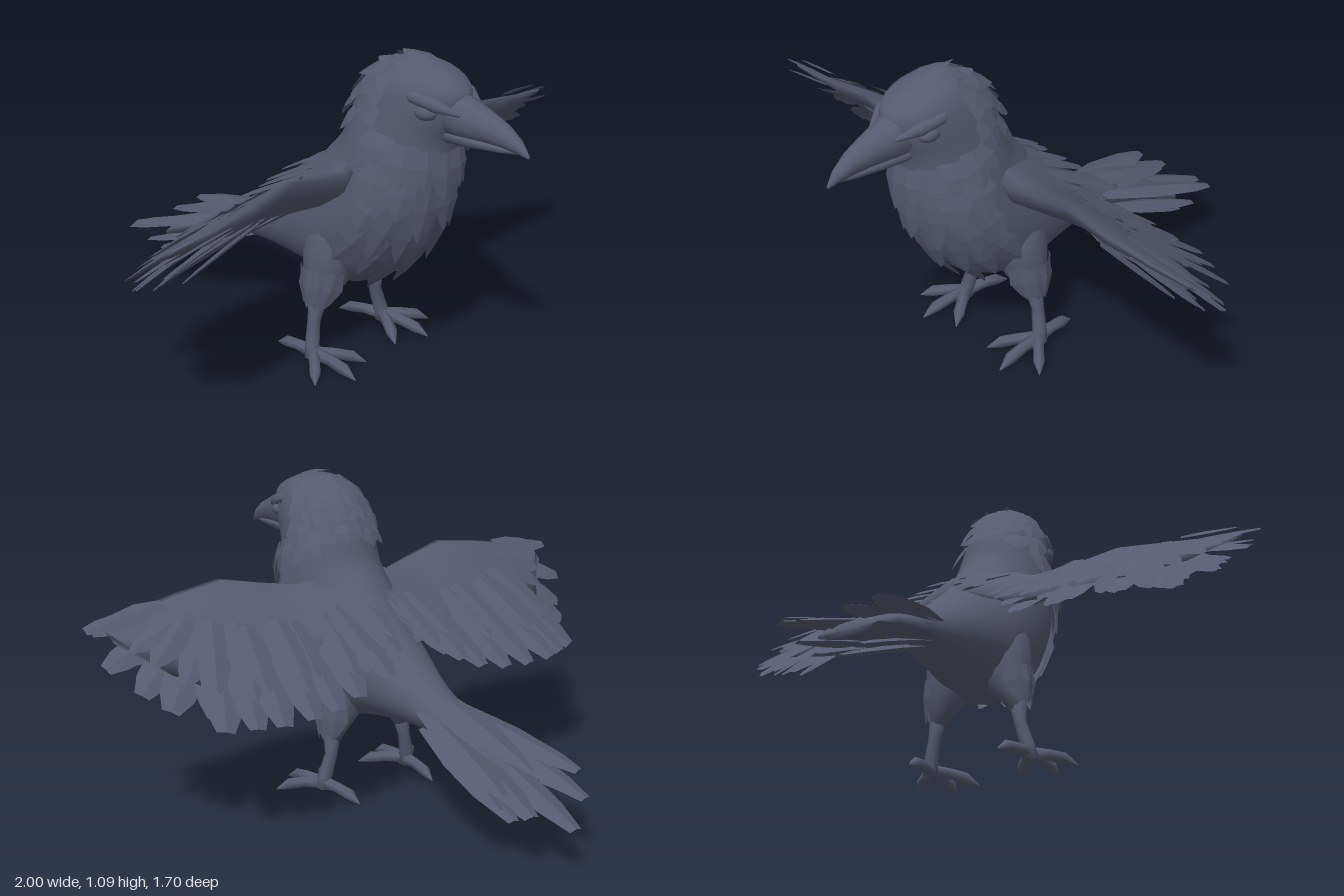
import * as THREE from 'three';

const V = (x, y, z) => new THREE.Vector3(x, y, z);
const plumage = new THREE.MeshStandardMaterial({ color: 0x565a70 });
plumage.name = 'slate plumage';
const feathering = new THREE.MeshStandardMaterial({ color: 0x565a70, side: THREE.DoubleSide });
feathering.name = 'slate feathers';

function mesh(name, geometry, material = plumage) {
  const m = new THREE.Mesh(geometry, material);
  m.name = name;
  return m;
}

// Closed smooth skin through rings of equal length, with end caps
function loft(rings) {
  const n = rings[0].length, pos = [], idx = [];
  rings.forEach(r => r.forEach(p => pos.push(p.x, p.y, p.z)));
  for (let i = 0; i < rings.length - 1; i++) for (let j = 0; j < n; j++) {
    const a = i * n + j, b = i * n + (j + 1) % n;
    idx.push(a, a + n, b, b, a + n, b + n);
  }
  [0, rings.length - 1].forEach((i, end) => {
    const c = rings[i].reduce((s, p) => s.add(p), V(0, 0, 0)).divideScalar(n);
    const k = pos.length / 3;
    pos.push(c.x, c.y, c.z);
    for (let j = 0; j < n; j++) {
      const a = i * n + j, b = i * n + (j + 1) % n;
      end ? idx.push(a, k, b) : idx.push(a, b, k);
    }
  });
  const g = new THREE.BufferGeometry();
  g.setAttribute('position', new THREE.Float32BufferAttribute(pos, 3));
  g.setIndex(idx);
  g.computeVertexNormals();
  return g;
}

const ring = (c, u, v, n) => Array.from({ length: n }, (_, j) => {
  const a = j / n * Math.PI * 2;
  return c.clone().addScaledVector(u, Math.cos(a)).addScaledVector(v, Math.sin(a));
});

// Tapering limb along a few points
function limb(points, radii, n = 8) {
  return loft(points.map((p, i) => {
    const dir = points[Math.min(i + 1, points.length - 1)].clone()
      .sub(points[Math.max(i - 1, 0)]).normalize();
    const ref = Math.abs(dir.y) > 0.8 ? V(0, 0, 1) : V(0, 1, 0);
    const u = ref.addScaledVector(dir, -ref.dot(dir)).normalize();
    const v = u.clone().cross(dir);
    return ring(p, u.multiplyScalar(radii[i]), v.multiplyScalar(radii[i]), n);
  }));
}

// Adds one ridged leaf-shaped feather to a triangle list
function feather(out, base, tip, half, up, blunt = 0.25, ridge = 0.18) {
  const dir = tip.clone().sub(base);
  const side = dir.clone().cross(up).normalize();
  const nrm = side.clone().cross(dir).normalize();
  const rows = [[0, 0.65], [0.45, 1], [0.82, 0.42 + blunt], [1, blunt]].map(([t, w]) => {
    const c = base.clone().addScaledVector(dir, t);
    return [c.clone().addScaledVector(side, -half * w),
      c.clone().addScaledVector(nrm, half * w * ridge),
      c.clone().addScaledVector(side, half * w)];
  });
  for (let i = 0; i < 3; i++) for (let j = 0; j < 2; j++) {
    const [a, b, c, d] = [rows[i][j], rows[i][j + 1], rows[i + 1][j], rows[i + 1][j + 1]];
    out.push(a, b, c, b, d, c);
  }
}

function feathers(name, tris) {
  const g = new THREE.BufferGeometry().setFromPoints(tris);
  g.computeVertexNormals();
  return mesh(name, g, feathering);
}

// Body stations, tail to crown: [half width, back y, back z, belly y, belly z]
const stations = [
  [0.075, 0.37, -0.36, 0.29, -0.34], [0.09, 0.45, -0.20, 0.295, -0.15],
  [0.14, 0.56, -0.05, 0.28, 0.05], [0.175, 0.66, 0.06, 0.255, 0.22],
  [0.185, 0.74, 0.13, 0.33, 0.37], [0.18, 0.80, 0.18, 0.46, 0.49],
  [0.168, 0.85, 0.20, 0.62, 0.56], [0.15, 0.90, 0.215, 0.76, 0.57],
  [0.14, 0.95, 0.24, 0.85, 0.585], [0.13, 1.02, 0.28, 0.90, 0.61],
  [0.112, 1.07, 0.36, 0.96, 0.625], [0.08, 1.078, 0.45, 1.0, 0.62], [0.02, 1.06, 0.54, 1.035, 0.58]];
const last = stations.length - 1;
const backLine = new THREE.CatmullRomCurve3(stations.map(s => V(s[0], s[1], s[2])));
const bellyLine = new THREE.CatmullRomCurve3(stations.map(s => V(0, s[3], s[4])));

function station(s) {
  const a = backLine.getPoint(s / last), b = bellyLine.getPoint(s / last), w = a.x;
  a.x = 0;
  return { c: a.clone().add(b).multiplyScalar(0.5), u: a.sub(b).multiplyScalar(0.5), v: V(w, 0, 0) };
}

function onBody(s, angle, lift) {
  const { c, u, v } = station(s);
  const r = u.multiplyScalar(Math.cos(angle)).addScaledVector(v, Math.sin(angle));
  const out = r.clone().normalize();
  return { p: c.add(r).addScaledVector(out, lift), out };
}

// Tier of pointed feathers lying on the body, spread about a middle angle
function tier(out, s, ds, mid, spread, count, half, lift) {
  for (let i = 0; i < count; i++) {
    const a = mid + spread * (i / (count - 1) * 2 - 1);
    const base = onBody(s, a, 0.001);
    const tip = onBody(s - ds * (i % 2 ? 0.8 : 1), a, lift);
    feather(out, base.p, tip.p, half, base.out, 0.04);
  }
}

function buildWing() {
  const g = new THREE.Group();
  // Arm sections: [x, lead z, lead y, trail z, trail y, thickness]
  const arm = [[0.04, 0.30, 0.74, -0.06, 0.575, 0.06], [0.2, 0.33, 0.71, -0.05, 0.505, 0.05],
    [0.35, 0.345, 0.75, -0.03, 0.485, 0.04], [0.48, 0.355, 0.782, -0.03, 0.485, 0.034],
    [0.65, 0.355, 0.76, 0, 0.49, 0.028], [0.8, 0.335, 0.735, 0.13, 0.565, 0.015],
    [0.93, 0.315, 0.715, 0.25, 0.665, 0.007]];
  const profile = [[0, 0], [0.08, 0.7], [0.3, 1], [0.65, 0.8], [1, 0.05], [0.65, -0.7], [0.3, -1.3], [0.08, -1]];
  g.add(mesh('wingArm', loft(arm.map(([x, lz, ly, tz, ty, t]) => profile.map(([k, h]) =>
    V(x, ly + (ty - ly) * k + h * t, lz + (tz - lz) * k))))));

  // Flight feathers: [base x, y, z, tip x, y, z, half width]
  const flight = [[0.08, 0.68, 0.13, 0.085, 0.555, -0.11, 0.05], [0.14, 0.66, 0.15, 0.16, 0.5, -0.165, 0.06],
    [0.22, 0.64, 0.15, 0.27, 0.45, -0.145, 0.06],
    [0.32, 0.64, 0.15, 0.37, 0.43, -0.16, 0.062], [0.41, 0.65, 0.15, 0.47, 0.425, -0.17, 0.062],
    [0.49, 0.65, 0.16, 0.58, 0.425, -0.165, 0.064], [0.55, 0.66, 0.18, 0.66, 0.425, -0.135, 0.064],
    [0.59, 0.67, 0.2, 0.75, 0.425, -0.095, 0.07], [0.62, 0.67, 0.22, 0.855, 0.475, 0.05, 0.068],
    [0.65, 0.69, 0.25, 0.91, 0.52, 0.125, 0.06], [0.67, 0.70, 0.27, 0.985, 0.60, 0.205, 0.052],
    [0.7, 0.73, 0.31, 1.0, 0.705, 0.30, 0.035]];
  const up = V(0, 0.8, -0.55), main = [], upper = [], under = [];
  flight.forEach(([bx, by, bz, tx, ty, tz, w], i) => {
    const base = V(bx, by, bz), tip = V(tx, ty, tz);
    const shift = (t, lift) => base.clone().lerp(tip, t).add(V(i % 2 ? 0.025 : -0.015, 0, 0)).addScaledVector(up, lift);
    feather(main, base, tip, w, up, 0.42);
    feather(upper, shift(0, 0.02), shift(i % 2 ? 0.66 : 0.76, 0.018), w * 0.9, up, 0.2);
    feather(under, shift(0, -0.025), shift(0.8, -0.035), w * 0.9, up, 0.3);
    // Hanging row below the secondaries
    if (i > 1 && i < 9) feather(under, shift(-0.2, -0.06), shift(0.62, -0.07), w, up, 0.3);
  });
  g.add(feathers('flightFeathers', main), feathers('upperCoverts', upper), feathers('underCoverts', under));
  return g;
}

function buildLeg() {
  const g = new THREE.Group();
  g.add(mesh('thigh', limb([V(0.08, 0.54, 0.2), V(0.09, 0.45, 0.19), V(0.103, 0.36, 0.178), V(0.122, 0.29, 0.17),
    V(0.142, 0.235, 0.165), V(0.155, 0.19, 0.165)], [0.06, 0.095, 0.095, 0.075, 0.045, 0.026], 12)));
  g.add(mesh('shank', limb([V(0.15, 0.24, 0.17), V(0.165, 0.14, 0.16), V(0.185, 0.06, 0.17), V(0.19, 0.02, 0.18)],
    [0.034, 0.022, 0.025, 0.03])));
  for (const [x, z] of [[0.08, 0.32], [0.2, 0.37], [0.31, 0.29], [0.165, 0]]) {
    const a = V(0.187, 0.035, 0.18), tip = V(x, 0.004, z);
    const mid = a.clone().lerp(tip, 0.4).setY(0.034), claw = a.clone().lerp(tip, 0.72).setY(0.025);
    g.add(mesh('toe', limb([a, mid, claw, tip], [0.024, 0.02, 0.021, 0.002], 6)));
  }
  // Ragged feathers on the outer thigh
  const cuff = [];
  for (let i = 0; i < 4; i++) {
    const a = 0.6 + i * 0.6, out = V(Math.sin(a), 0, Math.cos(a));
    feather(cuff, V(0.108, 0.34, 0.175).addScaledVector(out, 0.088),
      V(0.15, 0.2, 0.168).addScaledVector(out, 0.05), 0.045, out, 0.04);
  }
  g.add(feathers('thighFeathers', cuff));
  return g;
}

// Tapered part along z from [z, top y, bottom y, half width]
const taper = rows => loft(rows.map(([z, t, b, w]) =>
  ring(V(0, (t + b) / 2, z), V(0, (t - b) / 2, 0), V(w, 0, 0), 10)));

export function createModel() {
  const bird = new THREE.Group();
  bird.name = 'bird';

  const rings = [];
  for (let i = 0; i <= last * 3; i++) {
    const { c, u, v } = station(i / 3);
    rings.push(ring(c, u, v, 20));
  }
  bird.add(mesh('body', loft(rings)));

  // Overlapping breast and nape feathers
  const breast = [], nape = [];
  [7.5, 6.6, 5.7, 4.9].forEach((s, i) => tier(breast, s, 1.3, Math.PI, 1.45 - i * 0.1, 8 - i % 2, 0.06, 0.026));
  [[10.1, 0.9], [9.3, 1.1], [8.4, 1.25], [7.5, 1.35]].forEach(([s, spread], i) =>
    tier(nape, s, 1.7, 0, spread, 5 + i % 2, 0.055, 0.026));
  feather(nape, V(0, 1.07, 0.5), V(0, 1.092, 0.38), 0.05, V(0, 1, 0), 0.1);
  for (const x of [-1, 1]) feather(nape, V(x * 0.045, 1.05, 0.46), V(x * 0.045, 1.065, 0.32), 0.04, V(x * 0.5, 1, 0), 0.1);
  bird.add(feathers('breastFeathers', breast), feathers('napeFeathers', nape));

  bird.add(mesh('upperBeak', taper([[0.54, 1.03, 0.86, 0.085], [0.62, 0.995, 0.855, 0.064], [0.7, 0.965, 0.86, 0.045],
    [0.77, 0.932, 0.858, 0.032], [0.82, 0.895, 0.85, 0.018], [0.85, 0.855, 0.843, 0.004]])));
  bird.add(mesh('lowerBeak', taper([[0.54, 0.9, 0.832, 0.06], [0.66, 0.885, 0.836, 0.042],
    [0.76, 0.875, 0.843, 0.025], [0.82, 0.865, 0.85, 0.006]])));

  // Tail core and its fan of feathers: [tip x, y, z, half width]
  bird.add(mesh('tailCore', taper([[-0.6, 0.25, 0.2, 0.12], [-0.5, 0.305, 0.235, 0.115],
    [-0.38, 0.36, 0.268, 0.095], [-0.26, 0.405, 0.298, 0.075]])));
  const tail = [], up = V(0, 1, -0.4);
  [[0, 0.15, -0.85, 0.07], [0.115, 0.2, -0.78, 0.065], [0.165, 0.255, -0.70, 0.06],
    [0.075, 0.135, -0.66, 0.06], [0.14, 0.19, -0.66, 0.055]].forEach(([x, y, z, w], i) => {
    for (const s of x ? [-1, 1] : [1])
      feather(tail, V(s * x * 0.35, i < 3 ? 0.375 : 0.315, -0.22), V(s * x, y, z), w, up, 0.35, 0.3);
  });
  feather(tail, V(0, 0.42, -0.2), V(-0.01, 0.275, -0.65), 0.075, up, 0.15, 0.25);
  feather(tail, V(0, 0.31, -0.2), V(0, 0.12, -0.65), 0.06, up, 0.3, 0.3);
  bird.add(feathers('tailFeathers', tail));

  // Paired parts, mirrored across the middle
  for (const side of [1, -1]) {
    const wing = buildWing(), leg = buildLeg(), face = new THREE.Group();
    const eye = mesh('eye', new THREE.SphereGeometry(0.035, 12, 8));
    eye.position.set(0.09, 0.945, 0.535);
    eye.scale.set(0.9, 0.8, 1.2);
    face.add(eye, mesh('brow', limb([V(0.1, 1.0, 0.44), V(0.105, 0.99, 0.5), V(0.09, 0.97, 0.57), V(0.058, 0.945, 0.64)],
      [0.005, 0.022, 0.022, 0.005])));
    [[wing, 'Wing'], [leg, 'Leg'], [face, 'Eye']].forEach(([part, label]) => {
      part.name = (side > 0 ? 'left' : 'right') + label;
      part.scale.x = side;
      bird.add(part);
    });
  }
  return bird;
}
